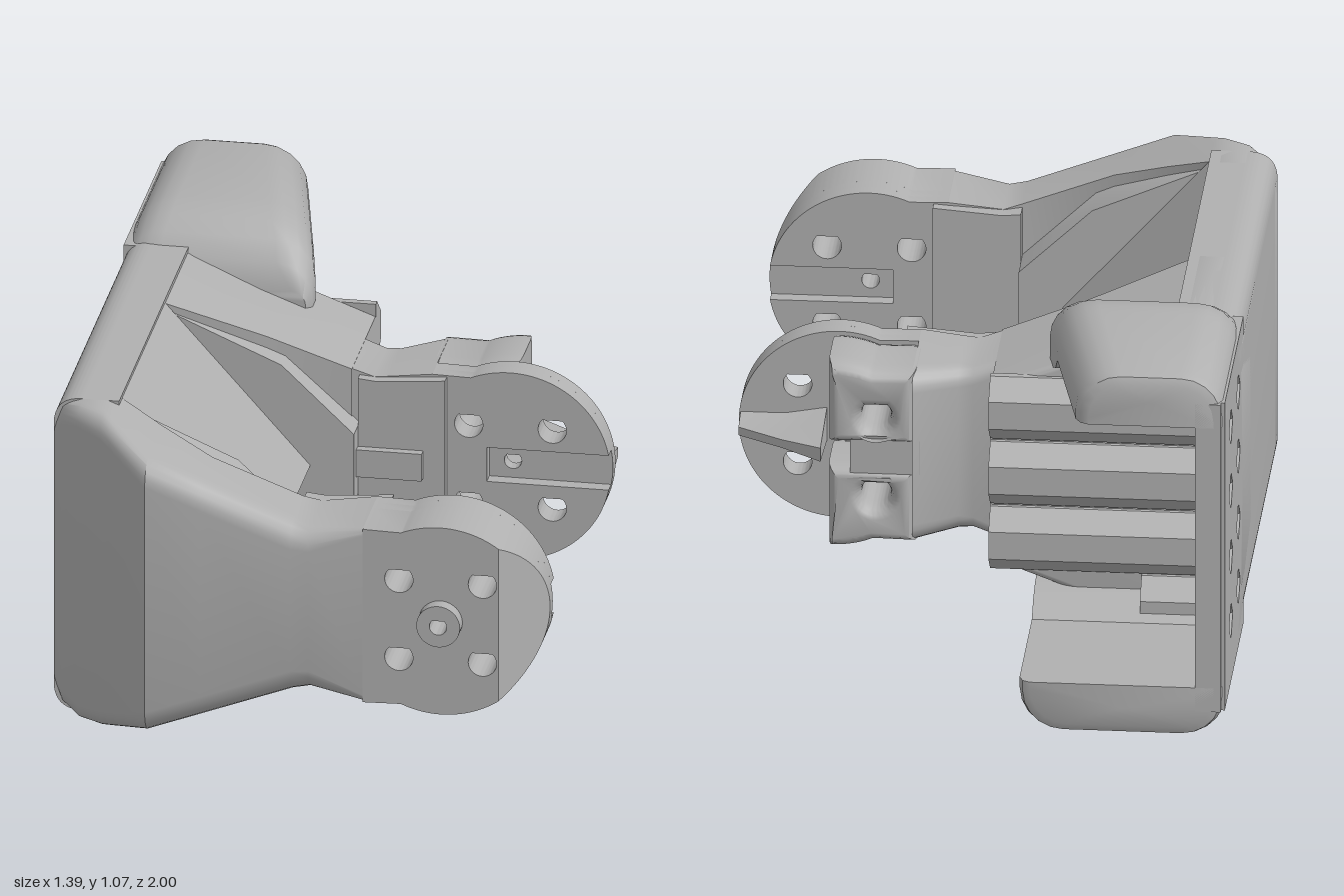
import * as THREE from 'three';
import { toCreasedNormals } from 'three/addons/utils/BufferGeometryUtils.js';

const CX = 0.415, CY = 0.54, R = 0.275;

export function createModel() {
  const group = new THREE.Group();
  const grey = new THREE.MeshStandardMaterial({ color: 0xb0b0b0 });

  function add(name, geo, crease = 0.6) {
    const mesh = new THREE.Mesh(toCreasedNormals(geo, crease), grey);
    mesh.name = name;
    group.add(mesh);
    return mesh;
  }

  // Closed solid through convex rings of equal length; faces turned outward
  function loft(rings) {
    const tris = [], n = rings[0].length;
    const mid = r => r.reduce((a, p) => a.add(p), new THREE.Vector3()).divideScalar(n);
    for (let i = 0; i + 1 < rings.length; i++)
      for (let j = 0; j < n; j++) {
        const k = (j + 1) % n, a = rings[i], b = rings[i + 1];
        tris.push([a[j], a[k], b[k]], [a[j], b[k], b[j]]);
      }
    const first = rings[0], last = rings[rings.length - 1], c0 = mid(first), c1 = mid(last);
    for (let j = 0; j < n; j++) {
      const k = (j + 1) % n;
      tris.push([c0, first[k], first[j]], [c1, last[j], last[k]]);
    }
    const volume = tris.reduce((s, [a, b, c]) => s + a.clone().sub(c0).dot(b.clone().sub(c0).cross(c.clone().sub(c0))), 0);
    const pts = tris.flatMap(([a, b, c]) => (volume > 0 ? [a, b, c] : [a, c, b]));
    const geo = new THREE.BufferGeometry().setFromPoints(pts);
    geo.computeVertexNormals();
    return geo;
  }

  // Quarter-round corner samples as [cos, sin]
  const quarter = [0, 1, 2, 3, 4, 5].map(i => [Math.cos(i * Math.PI / 10), Math.sin(i * Math.PI / 10)]);

  // Arm section at x: half height h, inner z0, outer z1, outer corners rounded by r
  function armRing([x, h, z0, z1, r]) {
    const s = Math.sign(z1 - z0), p = [];
    p.push([z0, CY - h], [z0, CY + h]);
    for (const [c, q] of quarter) p.push([z1 - s * r * (1 - q), CY + h - r * (1 - c)]);
    for (const [c, q] of quarter.slice().reverse()) p.push([z1 - s * r * (1 - q), CY - h + r * (1 - c)]);
    return p.map(([z, y]) => new THREE.Vector3(x, y, z));
  }
  const arm = (name, stations) => add(name, loft(stations.map(armRing)));

  const poly = pts => new THREE.Shape(pts.map(([x, y]) => new THREE.Vector2(x, y)));
  function extrude(shape, z0, z1, extra = {}) {
    const geo = new THREE.ExtrudeGeometry(shape, { depth: z1 - z0, bevelEnabled: false, curveSegments: 24, ...extra });
    return geo.translate(0, 0, z0);
  }
  function box(name, x0, x1, y0, y1, z0, z1) {
    return add(name, new THREE.BoxGeometry(x1 - x0, y1 - y0, z1 - z0).translate((x0 + x1) / 2, (y0 + y1) / 2, (z0 + z1) / 2));
  }

  // Teardrop hole with its point upward
  function teardrop(x, y, r) {
    const path = new THREE.Path();
    path.moveTo(x, y + r * 1.45);
    path.absarc(x, y, r, Math.PI * 0.75, Math.PI * 2.25, false);
    path.closePath();
    return path;
  }
  const arc = (a0, a1, n = 40) => Array.from({ length: n + 1 }, (_, i) => {
    const a = a0 + (a1 - a0) * i / n;
    return [CX + R * Math.cos(a), CY + R * Math.sin(a)];
  });

  // Hub outline with holes, cut flat at x = cut, or slotted toward the tip
  function hub(cut, slotted) {
    const end = 1.98, start = slotted ? 0.185 : Math.acos(Math.min(1, (cut - CX) / R));
    const pts = [...arc(start, end), [0.2, CY + 0.255], [0.2, CY - 0.255], ...arc(-end, -start)];
    if (slotted) pts.push([0.35, CY - 0.05], [0.35, CY + 0.05]);
    else if (start === 0) pts.pop();
    const shape = poly(pts);
    for (const x of [0.3, 0.53]) for (const y of [0.425, 0.655]) shape.holes.push(teardrop(x, y, 0.039));
    if (!slotted) shape.holes.push(teardrop(CX, CY, 0.024));
    return shape;
  }

  // Main wall with rounded outer edges
  const wall = new THREE.Shape();
  wall.moveTo(-0.52, 0.08);
  wall.lineTo(-0.52, 1.0);
  wall.lineTo(-0.62, 1.0);
  wall.quadraticCurveTo(-0.7, 1.0, -0.7, 0.92);
  wall.lineTo(-0.7, 0.16);
  wall.quadraticCurveTo(-0.7, 0.08, -0.62, 0.08);
  add('mainWall', extrude(wall, -0.45, 0.68));

  // Ridged prism along the inside of the wall
  add('innerWedge', extrude(poly([[-0.55, 0.09], [-0.52, 0.09], [-0.12, 0.54], [-0.52, 0.99], [-0.55, 0.99]]), -0.03, 0.63));

  // Front arm
  arm('frontArm', [
    [-0.7, 0.39, 0.6, 0.68, 0.04], [-0.675, 0.44, 0.6, 0.705, 0.05], [-0.62, 0.46, 0.6, 0.76, 0.05],
    [-0.55, 0.46, 0.6, 0.81, 0.06], [-0.52, 0.448, 0.63, 0.84, 0.06], [-0.4, 0.402, 0.69, 0.96, 0.07],
    [-0.25, 0.345, 0.75, 0.96, 0.07], [0.0, 0.25, 0.75, 0.96, 0.07], [0.05, 0.236, 0.74, 0.96, 0.06],
    [0.2, 0.255, 0.73, 0.96, 0.02]]);

  // Front hub: slotted inner layer, full layer, cut outer layer and bevelled tip
  add('frontHubSlotLayer', extrude(hub(9, true), 0.73, 0.77));
  add('frontHubBody', extrude(hub(9, false), 0.77, 0.81));
  add('frontHubOuter', extrude(hub(0.575, false), 0.81, 0.96));
  const tipAngle = Math.acos((0.575 - CX) / R);
  const tip = extrude(poly(arc(-tipAngle, tipAngle)), 0.8, 0.96);
  const tp = tip.attributes.position;
  for (let i = 0; i < tp.count; i++)
    if (tp.getZ(i) > 0.9) tp.setZ(i, 0.96 - (tp.getX(i) - 0.575) * 1.3);
  tip.computeVertexNormals();
  add('frontHubBevel', tip);

  // Hollow pivot boss
  const boss = new THREE.Shape().absarc(CX, CY, 0.06, 0, Math.PI * 2);
  boss.holes.push(teardrop(CX, CY, 0.024));
  add('pivotBoss', extrude(boss, 0.95, 1.0));

  // Rear arm, with a block behind it and a neck to the hub
  arm('rearArm', [
    [-0.7, 0.39, -0.03, -0.49, 0.02], [-0.675, 0.44, -0.03, -0.49, 0.02], [-0.62, 0.46, -0.03, -0.49, 0.02],
    [-0.55, 0.46, -0.03, -0.49, 0.02], [-0.52, 0.448, -0.03, -0.49, 0.02], [-0.25, 0.345, -0.09, -0.49, 0.02],
    [-0.02, 0.258, -0.11, -0.49, 0.02]]);
  arm('rearNeck', [
    [-0.1, 0.285, -0.11, -0.35, 0.03], [0.04, 0.236, -0.12, -0.35, 0.04], [0.08, 0.24, -0.12, -0.355, 0.05],
    [0.2, 0.255, -0.12, -0.42, 0.06]]);

  // Rear hub
  add('rearHubSlotLayer', extrude(hub(9, true), -0.16, -0.12));
  add('rearHubBody', extrude(hub(9, false), -0.2, -0.16));
  for (const s of [1, -1]) {
    const pts = [[0.19, 0.575], [0.43, 0.575], ...arc(1.52, 1.98, 12), [0.19, CY + 0.254]];
    const lobe = poly(pts.map(([x, y]) => [x, CY + s * (y - CY)]));
    lobe.holes.push(teardrop(0.3, CY + s * 0.115, 0.039));
    add('rearHubLobe', extrude(lobe, -0.36, -0.25, {
      bevelEnabled: true, bevelThickness: 0.06, bevelSize: 0.03, bevelOffset: -0.03, bevelSegments: 4 }));
  }
  box('lobeBridge', 0.18, 0.37, 0.49, 0.59, -0.41, -0.19);
  // Tapering fin from the lobes to the hub tip
  const finRing = ([x, w, z]) => [[-w, -0.19], [w, -0.19], [w * 0.4, z], [-w * 0.4, z]]
    .map(([y, q]) => new THREE.Vector3(x, CY + y, q));
  add('rearFin', loft([[0.45, 0.05, -0.41], [0.56, 0.03, -0.345], [0.685, 0.03, -0.27]].map(finRing)));

  // Raised pads and ribs beside the inner hub faces
  for (const [z0, z1] of [[0.7, 0.75], [-0.13, -0.09]])
    add('hubPad', extrude(poly([[0, 0.3], [0.05, 0.305], [0.24, 0.29], [0.24, 0.79], [0.05, 0.775], [0, 0.78]]), z0, z1));
  for (const [z0, z1] of [[0.63, 0.78], [-0.13, -0.03]])
    add('innerRib', extrude(poly([[-0.5, 0.12], [-0.2, 0.25], [0, 0.44], [0, 0.64], [-0.2, 0.83], [-0.5, 0.96]]), z0, z1));
  box('padRib', 0, 0.18, 0.5, 0.58, -0.1, -0.065);

  // Housing back wall with two columns of diamond holes
  const rows = [0.26, 0.45, 0.645, 0.835];
  const back = poly([[0.4, 0.08], [0.985, 0.08], [0.985, 0.99], [0.4, 0.99]]);
  for (const u of [0.555, 0.79]) for (const y of rows)
    back.holes.push(poly([[u - 0.055, y], [u, y + 0.055], [u + 0.055, y], [u, y - 0.055]]));
  add('housingWall', extrude(back, 0, 0.08).rotateY(Math.PI / 2).translate(-0.7, 0, 0));
  box('housingEdge', -0.69, -0.62, 0.08, 0.99, -1, -0.98);

  // Ridges with slanted flanks, running between the hole rows
  for (const y of [0.165, 0.355, 0.5475, 0.74, 0.93]) {
    const xEnd = Math.min(-0.02, -0.55 + (0.42 - Math.abs(y - CY)) / 0.381);
    const ring = x => [[-0.092, -0.48], [-0.092, -0.502], [-0.04, -0.56], [0.04, -0.56], [0.092, -0.502], [0.092, -0.48]]
      .map(([d, z]) => new THREE.Vector3(x, y + d, z));
    add('holderRidge', loft([ring(-0.66), ring(xEnd)]));
  }

  // Rounded housing flanges; stations are z, right edge, inner y, outer y, radius
  function flange(name, upper) {
    const edge = z => (upper ? -0.3 + (z + 1) * 0.215 : -0.14);
    const stations = [
      [-1, 0.03, 0.92, 1.04, 0.1], [-0.99, 0.01, 0.92, 1.06, 0.11], [-0.965, 0, 0.92, 1.07, 0.12],
      [-0.58, 0, 0.92, 1.07, 0.12], [-0.54, 0, 0.88, 1.07, 0.12], [-0.48, 0, 0.855, 1.06, 0.12],
      [-0.42, 0, 0.85, 1.03, 0.11], [-0.375, 0.01, 0.85, 0.98, 0.1], [-0.35, 0.03, 0.86, 0.91, 0.04]];
    const rings = stations.map(([z, inset, y0, y1, r]) => {
      const xa = -0.7 + (z < -0.9 ? inset : 0), xb = edge(z) - inset, p = [[xa, y0]];
      for (const [c, s] of quarter) p.push([xa + r * (1 - c), y1 - r * (1 - s)]);
      for (const [c, s] of quarter.slice().reverse()) p.push([xb - r * (1 - c), y1 - r * (1 - s)]);
      p.push([xb, y0]);
      return p.map(([x, y]) => new THREE.Vector3(x, upper ? y : 1.07 - y, z));
    });
    add(name, loft(rings), 0.7);
  }
  flange('topFlange', true);
  flange('bottomFlange', false);

  return group;
}
